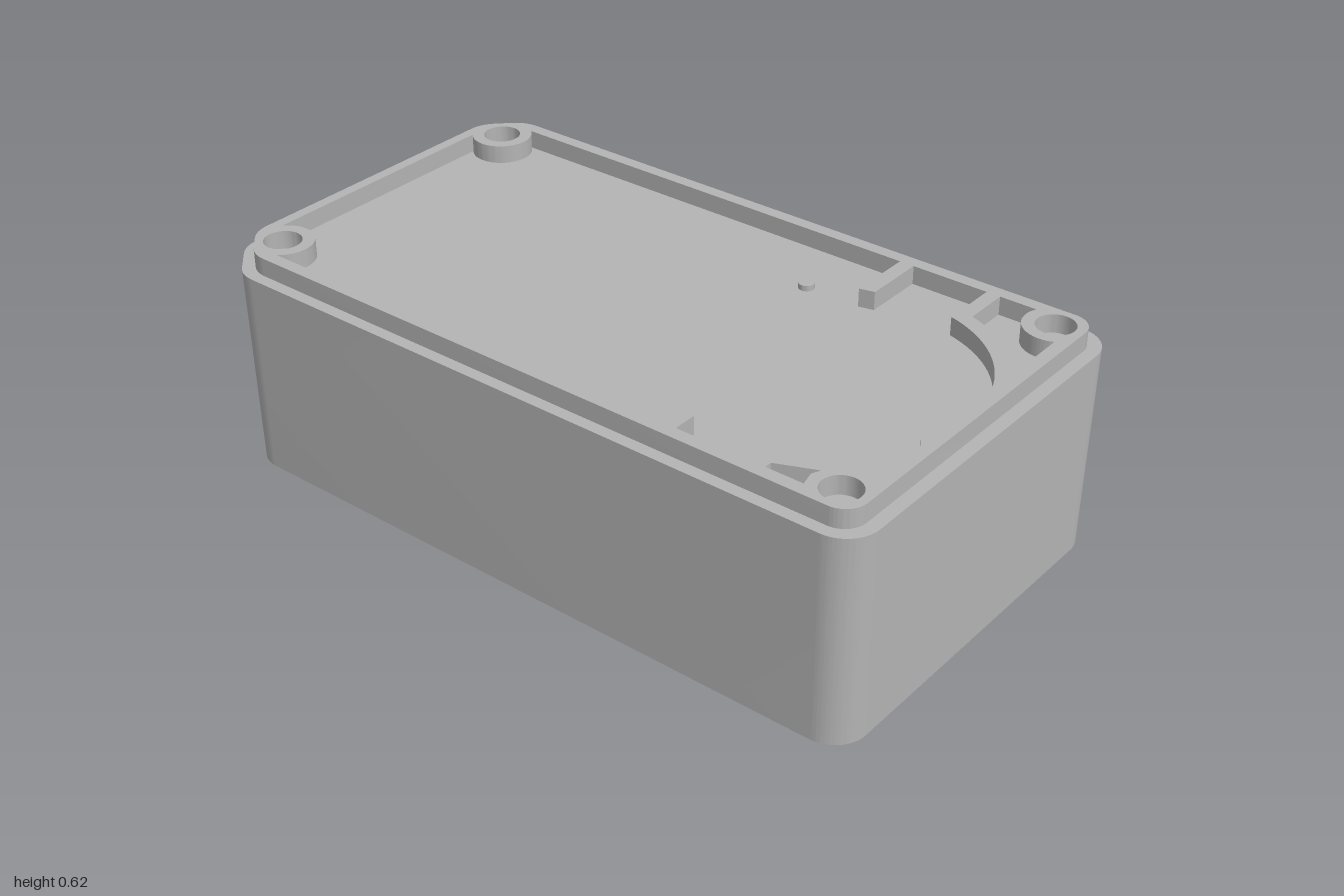
import * as THREE from 'three';
import { toCreasedNormals } from 'three/addons/utils/BufferGeometryUtils.js';

const LEDGE = 0.56, TOP = 0.61;

// Shapes are drawn in plan as (x, z); the solid hangs down from height `top`.
function slab(shape, top, depth) {
  const g = new THREE.ExtrudeGeometry(shape, { depth, bevelEnabled: false, curveSegments: 20 });
  return g.rotateX(Math.PI / 2).translate(0, top, 0);
}

// Plan outline: two rounded corners at +x, two softened chamfers at -x.
function outline(hx, hz, r, c) {
  const s = new THREE.Shape(), e = 0.04, d = e * 0.707;
  s.moveTo(-hx + c + e, -hz);
  s.lineTo(hx - r, -hz);
  s.absarc(hx - r, -hz + r, r, -Math.PI / 2, 0, false);
  s.lineTo(hx, hz - r);
  s.absarc(hx - r, hz - r, r, 0, Math.PI / 2, false);
  s.lineTo(-hx + c + e, hz);
  s.quadraticCurveTo(-hx + c, hz, -hx + c - d, hz - d);
  s.lineTo(-hx + d, hz - c + d);
  s.quadraticCurveTo(-hx, hz - c, -hx, hz - c - e);
  s.lineTo(-hx, -hz + c + e);
  s.quadraticCurveTo(-hx, -hz + c, -hx + d, -hz + c - d);
  s.lineTo(-hx + c - d, -hz + d);
  s.quadraticCurveTo(-hx + c, -hz, -hx + c + e, -hz);
  return s;
}

const lines = (path, pts) => pts.forEach(([x, z]) => path.lineTo(x, z));

// Arc about (cx, cz) running between the directions of two offsets
function arc(path, cx, cz, r, from, to, clockwise) {
  path.absarc(cx, cz, r, Math.atan2(from[1], from[0]), Math.atan2(to[1], to[0]), clockwise);
}

export function createModel() {
  const plastic = new THREE.MeshStandardMaterial({ color: 0xb4b4b4 });
  plastic.name = 'grey plastic';
  const model = new THREE.Group();
  model.name = 'enclosure';
  const box = new THREE.Group();
  box.name = 'box';
  const add = (name, geometry) => {
    const mesh = new THREE.Mesh(toCreasedNormals(geometry, 0.5), plastic);
    mesh.name = name;
    box.add(mesh);
  };

  // Body, drawn in slightly towards the base
  const body = slab(outline(0.99, 0.5425, 0.09, 0.11), LEDGE, LEDGE);
  const p = body.attributes.position;
  for (let i = 0; i < p.count; i++) {
    if (p.getY(i) < 0.01) p.setXYZ(i, p.getX(i) * 0.994, 0, p.getZ(i) * 0.991);
  }
  add('body', body);

  // Main recess: bosses at -x, tabs on the long walls, round bay at +x
  const recess = new THREE.Path();
  recess.moveTo(-0.925, -0.355);
  arc(recess, -0.864, -0.41, 0.082, [-0.061, 0.055], [0.05, -0.065], true);
  lines(recess, [[0.42, -0.475], [0.42, -0.295], [0.46, -0.305], [0.46, -0.475],
    [0.67, -0.475], [0.67, -0.317]]);
  arc(recess, 0.582, 0.03, 0.358, [0.088, -0.347], [0.325, 0.15], false);
  lines(recess, [[0.92, 0.2], [0.923, 0.347], [0.79, 0.35], [0.733, 0.385], [0.668, 0.41],
    [0.668, 0.475], [0.467, 0.475], [0.467, 0.41], [0.427, 0.39], [0.427, 0.475], [-0.814, 0.475]]);
  arc(recess, -0.864, 0.41, 0.082, [0.05, 0.065], [-0.061, -0.055], true);
  recess.closePath();

  // Pocket between the curved wall and the back corner boss
  const backPocket = new THREE.Path();
  backPocket.moveTo(0.708, -0.475);
  backPocket.lineTo(0.808, -0.475);
  arc(backPocket, 0.882, -0.44, 0.082, [-0.074, -0.035], [0.038, 0.073], true);
  backPocket.lineTo(0.92, -0.188);
  arc(backPocket, 0.582, 0.03, 0.4, [0.337, -0.218], [0.126, -0.38], true);
  backPocket.closePath();

  // Small wedge pocket beside the front corner boss
  const frontPocket = new THREE.Path();
  frontPocket.moveTo(0.71, 0.475);
  lines(frontPocket, [[0.71, 0.455], [0.81, 0.412], [0.8, 0.435], [0.81, 0.475]]);
  frontPocket.closePath();

  // Raised rim with its recesses and four screw holes
  const rim = outline(0.955, 0.51, 0.06, 0.09);
  rim.holes.push(recess, backPocket, frontPocket);
  for (const [x, z] of [[-0.864, 0.41], [0.882, 0.44]]) {
    for (const side of [-1, 1]) {
      rim.holes.push(new THREE.Path().absarc(x, side * z, 0.05, 0, Math.PI * 2, false));
    }
  }
  add('rim', slab(rim, TOP, TOP - LEDGE));

  // Locating pin on the floor
  add('pin', new THREE.CylinderGeometry(0.021, 0.021, 0.015, 24).translate(0.265, LEDGE + 0.0075, -0.295));

  // The whole box sits very slightly turned and tilted
  box.rotation.set(0.0085, -0.018, 0);
  box.position.y = 0.006;
  model.add(box);
  return model;
}
